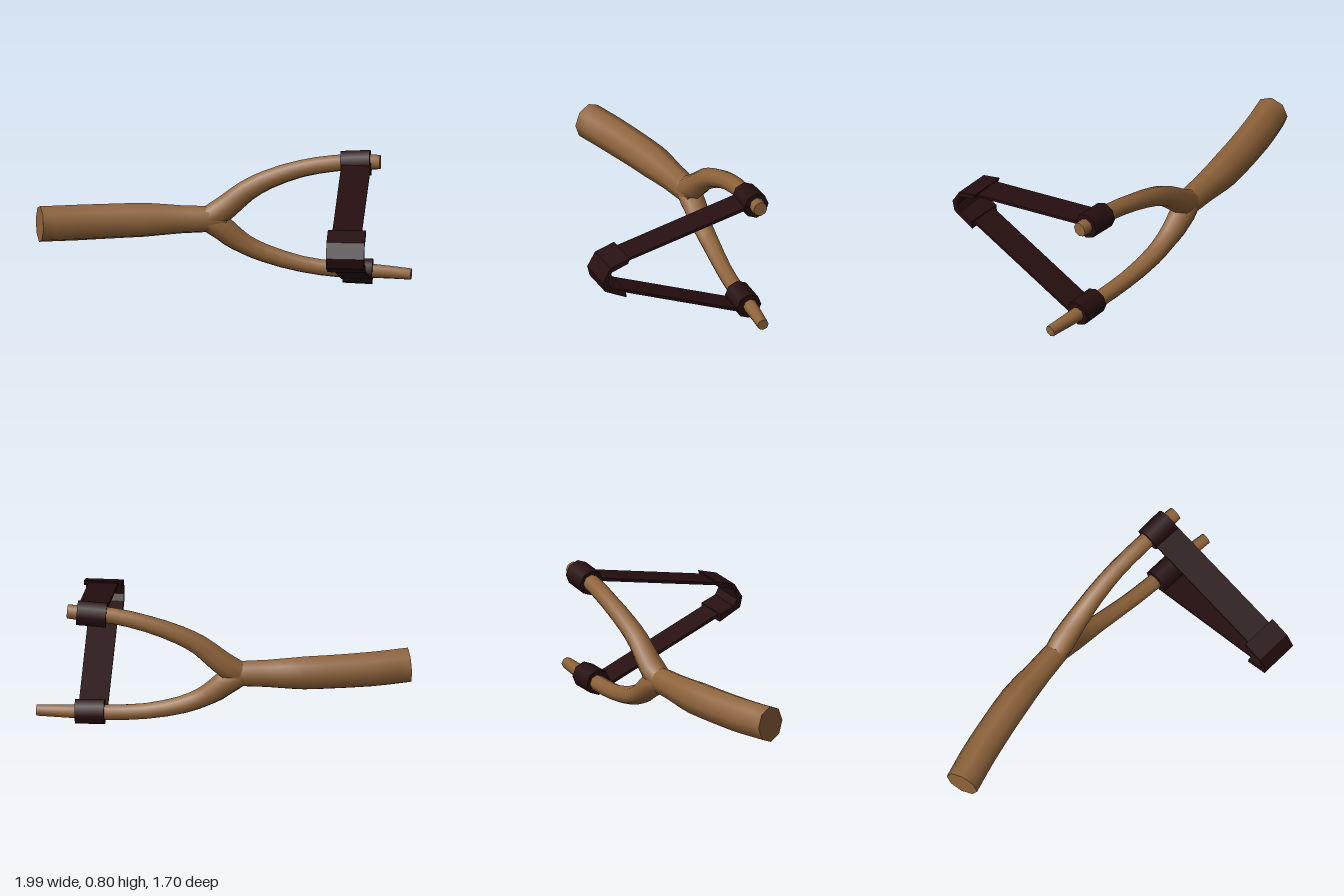
import * as THREE from 'three';

const wood = new THREE.MeshStandardMaterial({ color: 0x8f633a });
wood.name = 'wood';
const leather = new THREE.MeshStandardMaterial({ color: 0x260e0f });
leather.name = 'dark leather';

const SIDES = 8;
const PULL = new THREE.Vector3(-0.475, 0, 0.88); // direction in which the bands are drawn

// Tapered branch swept through points [x, y, z, radius], with flat end caps
function branch(name, points, steps, depth = 1) {
  const curve = new THREE.CatmullRomCurve3(points.map(p => new THREE.Vector3(p[0], p[1], p[2])));
  const pos = [], index = [];
  for (let i = 0; i <= steps; i++) {
    const t = i / steps, k = t * (points.length - 1);
    const k0 = Math.min(Math.floor(k), points.length - 2);
    const r = THREE.MathUtils.lerp(points[k0][3], points[k0 + 1][3], k - k0);
    const c = curve.getPoint(t), T = curve.getTangent(t);
    const N = PULL.clone().addScaledVector(T, -PULL.dot(T)).normalize();
    const B = T.clone().cross(N);
    for (let j = 0; j < SIDES; j++) {
      const a = j / SIDES * Math.PI * 2;
      const p = c.clone().addScaledVector(N, Math.cos(a) * r * depth).addScaledVector(B, Math.sin(a) * r);
      pos.push(p.x, p.y, p.z);
    }
  }
  for (let i = 0; i < steps; i++) {
    for (let j = 0; j < SIDES; j++) {
      const a = i * SIDES + j, b = i * SIDES + (j + 1) % SIDES;
      index.push(a, b, b + SIDES, a, b + SIDES, a + SIDES);
    }
  }
  // caps use their own corners so the rim stays sharp
  for (const end of [0, steps]) {
    const base = pos.length / 3;
    pos.push(...pos.slice(end * SIDES * 3, (end + 1) * SIDES * 3));
    for (let j = 1; j < SIDES - 1; j++) {
      if (end) index.push(base, base + j, base + j + 1);
      else index.push(base, base + j + 1, base + j);
    }
  }
  const g = new THREE.BufferGeometry();
  g.setAttribute('position', new THREE.Float32BufferAttribute(pos, 3));
  g.setIndex(index);
  g.computeVertexNormals();
  const mesh = new THREE.Mesh(g, wood);
  mesh.name = name;
  return mesh;
}

// Leather piece: outline in (pull distance, height), extruded across the band
function strip(name, outline, width) {
  const shape = new THREE.Shape(outline.map(p => new THREE.Vector2(p[0], p[1])));
  const g = new THREE.ExtrudeGeometry(shape, { depth: width, bevelEnabled: false });
  g.translate(0, 0, -width / 2);
  g.rotateY(-Math.PI / 2);
  const mesh = new THREE.Mesh(g, leather);
  mesh.name = name;
  return mesh;
}

// Octagonal binding around an arm
function wrap(name, across, y, pull, tilt) {
  const g = new THREE.CylinderGeometry(0.077, 0.077, 0.17, 8);
  g.rotateZ(Math.PI / 2 + tilt);
  const mesh = new THREE.Mesh(g, leather);
  mesh.name = name;
  mesh.position.set(across, y, pull);
  return mesh;
}

export function createModel() {
  const model = new THREE.Group();
  model.name = 'slingshot';

  // Forked wooden branch
  model.add(branch('handle', [
    [-0.97, 0.372, -0.755, 0.108], [-0.75, 0.365, -0.71, 0.108], [-0.38, 0.363, -0.605, 0.103],
    [-0.18, 0.363, -0.525, 0.085], [-0.03, 0.363, -0.462, 0.078], [0.06, 0.363, -0.425, 0.06]
  ], 15, 0.92));
  model.add(branch('upperArm', [
    [-0.06, 0.363, -0.475, 0.065], [0.02, 0.40, -0.445, 0.076], [0.1, 0.47, -0.41, 0.07],
    [0.17, 0.535, -0.375, 0.064], [0.28, 0.602, -0.325, 0.058], [0.45, 0.67, -0.24, 0.052],
    [0.62, 0.71, -0.14, 0.05], [0.74, 0.72, -0.075, 0.05], [0.85, 0.725, -0.01, 0.043]
  ], 16));
  model.add(branch('lowerArm', [
    [-0.06, 0.363, -0.475, 0.065], [0.02, 0.325, -0.445, 0.076], [0.09, 0.262, -0.41, 0.07],
    [0.16, 0.21, -0.37, 0.06], [0.26, 0.16, -0.315, 0.055], [0.44, 0.105, -0.2, 0.049],
    [0.62, 0.083, -0.085, 0.048], [0.78, 0.08, 0.005, 0.043], [0.98, 0.071, 0.135, 0.034]
  ], 16));

  // Bindings, bands and pouch, turned to follow the pull
  const sling = new THREE.Group();
  sling.name = 'sling';
  sling.position.set(0.69, 0, 0);
  sling.rotation.y = -0.495;
  sling.add(wrap('upperWrap', -0.005, 0.715, -0.085, 0.06));
  sling.add(wrap('lowerWrap', 0.01, 0.08, -0.032, -0.03));
  sling.add(strip('upperBand', [[-0.05, 0.715], [0.8, 0.528], [0.8, 0.544], [-0.05, 0.733]], 0.17));
  sling.add(strip('lowerBand', [[0, 0.038], [0.8, 0.362], [0.8, 0.38], [0, 0.056]], 0.17));
  sling.add(strip('pouch', [
    [0.73, 0.572], [0.74, 0.54], [0.843, 0.505], [0.865, 0.44], [0.843, 0.40], [0.755, 0.367],
    [0.75, 0.322], [0.885, 0.388], [0.9, 0.45], [0.85, 0.535]
  ], 0.22));
  model.add(sling);
  return model;
}
